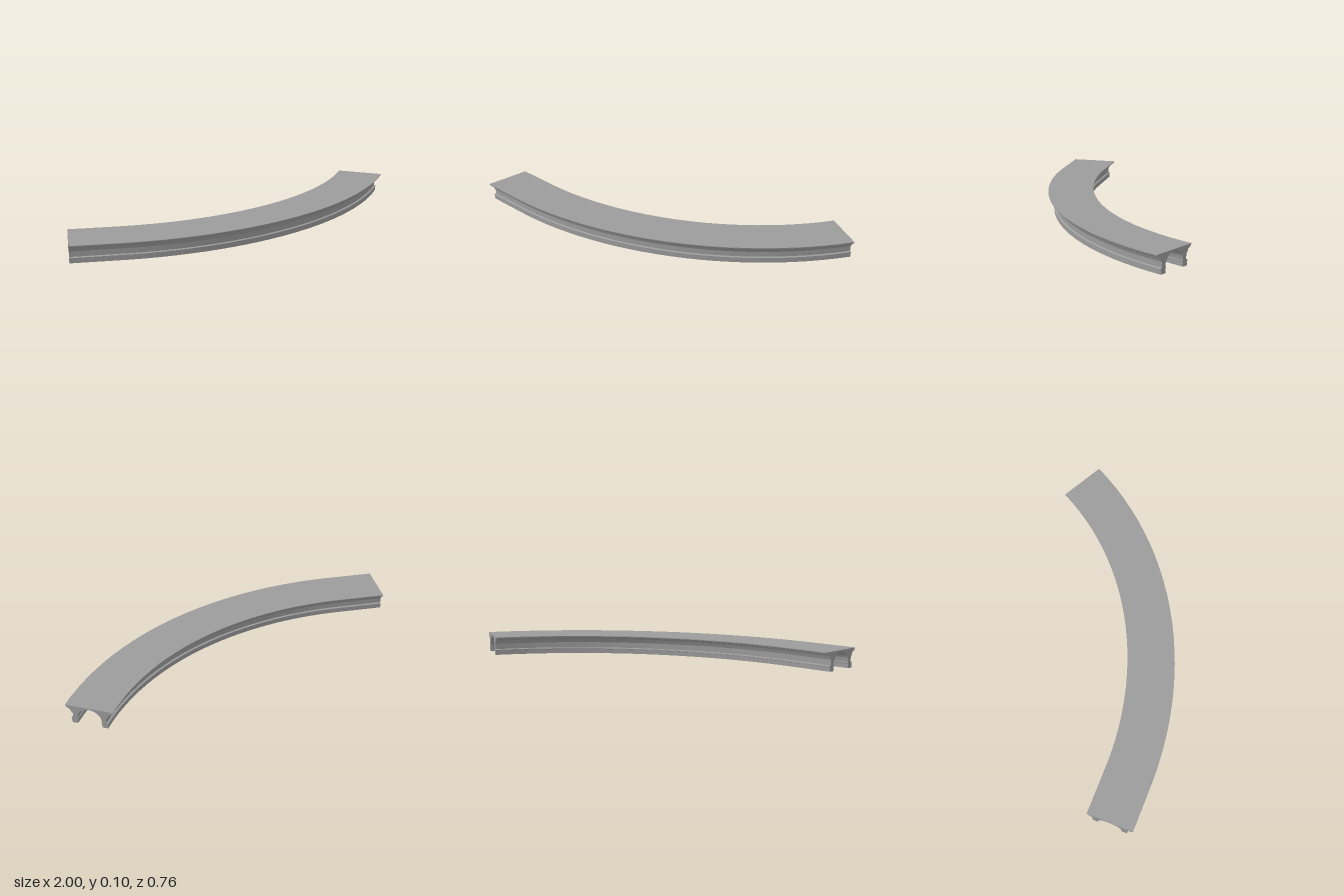
import * as THREE from 'three';
import { toCreasedNormals } from 'three/addons/utils/BufferGeometryUtils.js';

// Moulded half-section from the inner jamb, under the foot, up to the cornice: [offset, height]
const HALF = [
  [0.060, 0.030], [0.060, 0.024], [0.064, 0.022], [0.064, 0],
  [0.094, 0], [0.094, 0.022], [0.097, 0.023], [0.097, 0.028], [0.087, 0.031],
  [0.087, 0.060], [0.093, 0.061], [0.095, 0.067], [0.098, 0.072], [0.101, 0.080],
  [0.108, 0.082], [0.110, 0.085], [0.117, 0.087], [0.121, 0.094], [0.125, 0.096], [0.125, 0.100],
];

// Symmetric section with a rounded vault cut out underneath
function sectionShape() {
  const points = HALF.map(([u, y]) => new THREE.Vector2(u, y));
  points.push(...HALF.slice().reverse().map(([u, y]) => new THREE.Vector2(-u, y)));
  const n = 20;
  for (let i = 0; i <= n; i++) {
    const a = Math.PI * (1 - i / n);
    points.push(new THREE.Vector2(0.064 * Math.cos(a), 0.031 + 0.061 * Math.sin(a)));
  }
  return new THREE.Shape(points);
}

// Plan of the centre line: short straight run, then a sweeping bend
function centreLine() {
  const v = (x, z) => new THREE.Vector3(x, 0, z);
  const path = new THREE.CurvePath();
  path.add(new THREE.LineCurve3(v(-0.9725, 0.158), v(-0.7285, 0.2125)));
  path.add(new THREE.CubicBezierCurve3(v(-0.7285, 0.2125), v(-0.123, 0.348), v(0.515, 0.161), v(0.904, -0.301)));
  return path;
}

// Extrude straight, then bend every vertex onto the path
function sweep(shape, path, steps) {
  const geometry = new THREE.ExtrudeGeometry(shape, { depth: 1, steps, bevelEnabled: false });
  const frames = [];
  for (let i = 0; i <= steps; i++) {
    frames.push({ p: path.getPointAt(i / steps), t: path.getTangentAt(i / steps) });
  }
  const pos = geometry.attributes.position;
  for (let i = 0; i < pos.count; i++) {
    const { p, t } = frames[Math.round(pos.getZ(i) * steps)];
    const u = pos.getX(i);
    pos.setXYZ(i, p.x + t.z * u, pos.getY(i), p.z - t.x * u);
  }
  geometry.clearGroups();
  geometry.computeVertexNormals();
  return toCreasedNormals(geometry, 0.45);
}

export function createModel() {
  const group = new THREE.Group();
  group.name = 'curvedVaultedCornice';
  const material = new THREE.MeshStandardMaterial({ color: 0x9c9c9c });
  const beam = new THREE.Mesh(sweep(sectionShape(), centreLine(), 28), material);
  beam.name = 'mouldedBeam';
  group.add(beam);
  return group;
}
